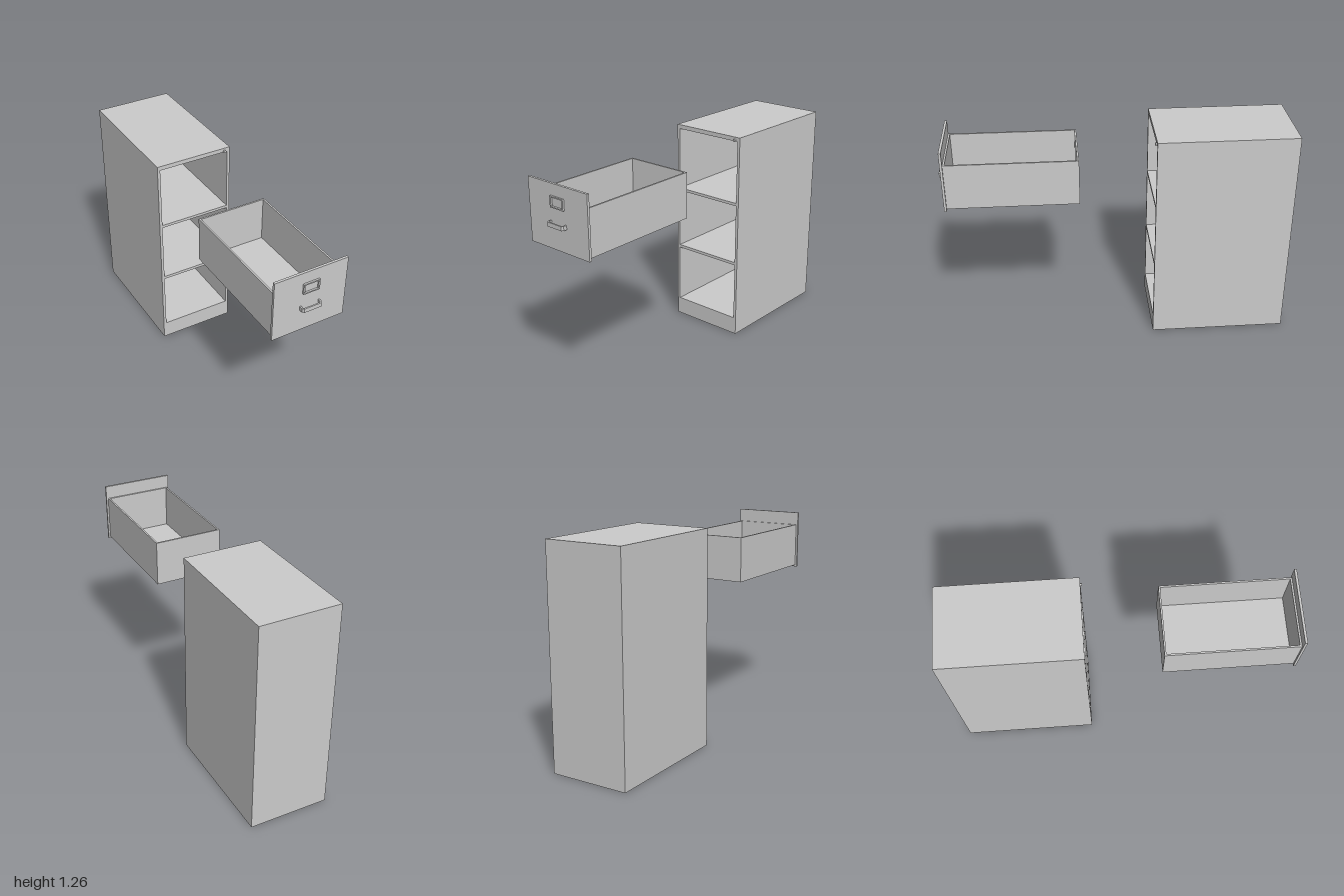
import * as THREE from 'three';

const grey = new THREE.MeshStandardMaterial({ color: 0xcccccc });

function add(parent, name, geometry, x = 0, y = 0, z = 0) {
  const mesh = new THREE.Mesh(geometry, grey);
  mesh.name = name;
  mesh.position.set(x, y, z);
  parent.add(mesh);
  return mesh;
}

// Box given by its lower and upper corners
function box(parent, name, [x0, y0, z0], [x1, y1, z1]) {
  return add(parent, name, new THREE.BoxGeometry(x1 - x0, y1 - y0, z1 - z0),
    (x0 + x1) / 2, (y0 + y1) / 2, (z0 + z1) / 2);
}

const rect = (x0, y0, x1, y1) => [[x0, y0], [x1, y0], [x1, y1], [x0, y1]].map(([x, y]) => new THREE.Vector2(x, y));

// Extruded outline with rectangular holes
function plate(points, holes, depth) {
  const shape = new THREE.Shape(points);
  holes.forEach(h => shape.holes.push(new THREE.Path(h.slice().reverse())));
  return new THREE.ExtrudeGeometry(shape, { depth, bevelEnabled: false });
}

function createCabinet() {
  const cabinet = new THREE.Group();
  cabinet.name = 'cabinet';
  const front = -0.208, back = -1, backThickness = 0.018;

  // Shell with three open drawer bays
  const bays = [[0.107, 0.462], [0.48, 0.843], [0.86, 1.235]];
  const holes = bays.map(([y0, y1]) => rect(-0.218, y0, 0.218, y1));
  add(cabinet, 'cabinetShell', plate(rect(-0.235, 0, 0.235, 1.26), holes, front - back - backThickness),
    0, 0, back + backThickness);
  box(cabinet, 'backPanel', [-0.235, 0, back], [0.235, 1.26, back + backThickness]);

  // Lock cylinder in the top right corner
  add(cabinet, 'lock', new THREE.CylinderGeometry(0.008, 0.008, 0.012, 24), 0.2, 1.241, front + 0.004)
    .rotation.x = Math.PI / 2;
  return cabinet;
}

function createDrawer() {
  const drawer = new THREE.Group();
  drawer.name = 'drawer';
  drawer.position.x = -0.003;
  const w = 0.205, t = 0.01, z0 = 0.217, z1 = 0.956, y0 = 0.888, y1 = 1.155;

  // Open-topped tray: a ring of walls around a floor
  const walls = plate(rect(-w, -z1, w, -z0), [rect(-w + t, -z1 + t, w - t, -z0 - t)], y1 - y0);
  add(drawer, 'drawerWalls', walls, 0, y0, 0).rotation.x = -Math.PI / 2;
  box(drawer, 'drawerFloor', [-w + t, y0, z0 + t], [w - t, y0 + t, z1 - t]);

  // Front panel
  box(drawer, 'drawerFront', [-0.216, 0.877, z1], [0.216, 1.234, 0.97]);

  // Label holder frame
  const frame = plate(rect(-0.048, 1.107, 0.048, 1.169), [rect(-0.04, 1.114, 0.04, 1.162)], 0.01);
  add(drawer, 'labelHolder', frame, 0, 0, 0.97);

  // Pull handle: a flat bar with chamfered corners, extruded upwards
  const profile = [
    [-0.059, 0], [-0.059, 0.02], [-0.051, 0.03], [0.051, 0.03], [0.059, 0.02], [0.059, 0],
    [0.051, 0], [0.051, 0.017], [0.047, 0.022], [-0.047, 0.022], [-0.051, 0.017], [-0.051, 0],
  ].map(([x, z]) => new THREE.Vector2(x, -z));
  add(drawer, 'handle', plate(profile, [], 0.024), 0, 1.009, 0.97).rotation.x = -Math.PI / 2;
  return drawer;
}

export function createModel() {
  const model = new THREE.Group();
  model.name = 'filingCabinet';
  model.add(createCabinet(), createDrawer());
  return model;
}
